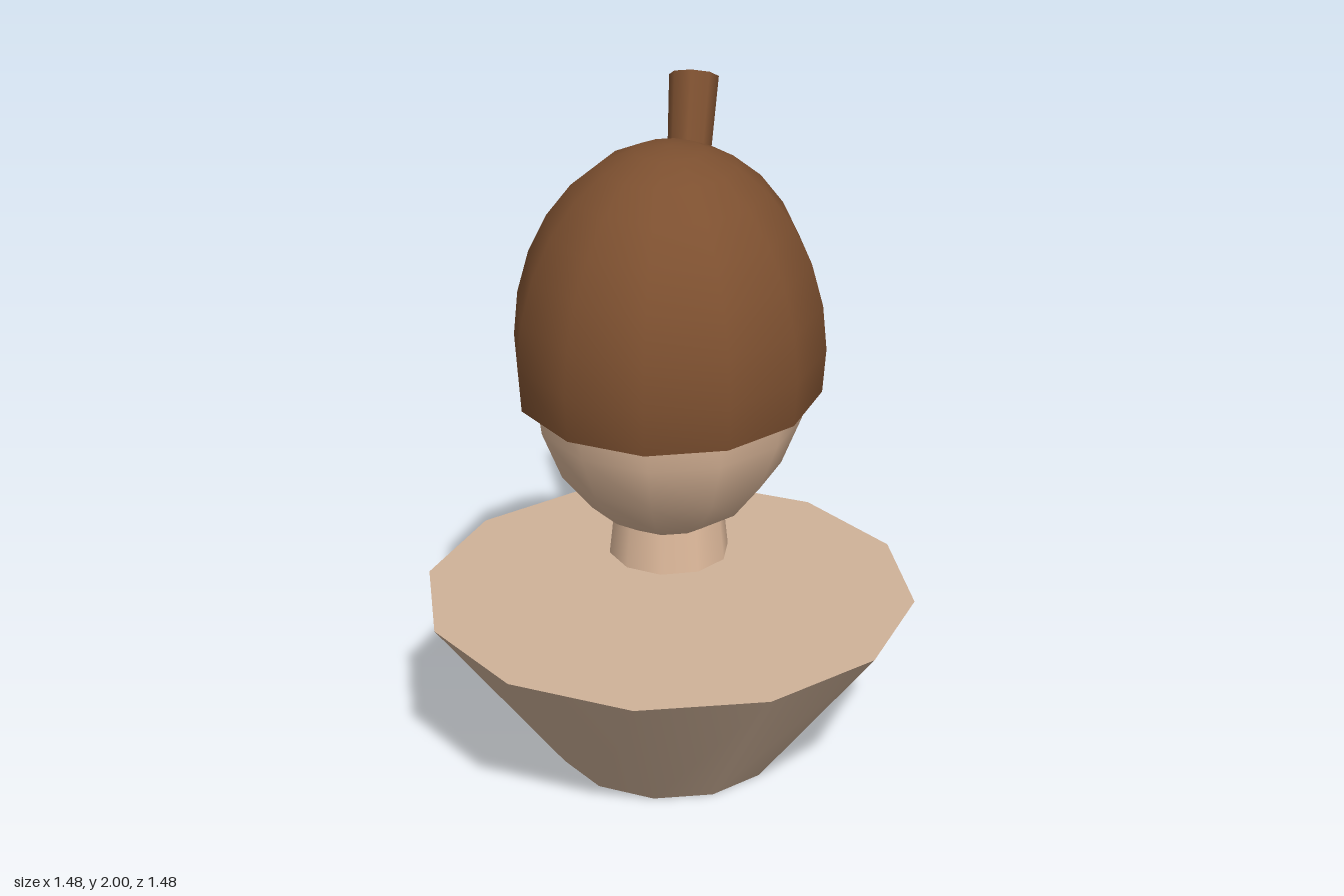
import * as THREE from 'three';

export function createModel() {
  const model = new THREE.Group();
  model.name = 'acornBust';

  const capBrown = new THREE.MeshStandardMaterial({ color: 0x7d5030, side: THREE.DoubleSide });
  capBrown.name = 'acornBrown';
  const skin = new THREE.MeshStandardMaterial({ color: 0xdfba9c });
  skin.name = 'skin';
  const bodyTan = new THREE.MeshStandardMaterial({ color: 0xcfb299 });
  bodyTan.name = 'bodyTan';

  function add(name, geometry, material, y) {
    const mesh = new THREE.Mesh(geometry, material);
    mesh.name = name;
    mesh.position.y = y;
    model.add(mesh);
    return mesh;
  }

  // Body: a wide twelve-sided cone, closed at both ends
  add('body', new THREE.CylinderGeometry(0.74, 0.345, 0.535, 12), bodyTan, 0.2675);

  // Neck floats above the body and runs up into the head
  add('neck', new THREE.CylinderGeometry(0.158, 0.18, 0.2, 10), skin, 0.767);

  // Head: an egg, deeper than wide
  add('head', new THREE.SphereGeometry(1, 12, 10).scale(0.41, 0.53, 0.46), skin, 1.28);

  // Acorn cap: an open shell cut just below its widest ring
  const cap = new THREE.SphereGeometry(1, 12, 8, 0, Math.PI * 2, 0, 1.772);
  add('cap', cap.scale(0.455, 0.6, 0.525), capBrown, 1.32);

  // Stem: widens to its tip and leans backwards
  const length = 0.44;
  const tilt = THREE.MathUtils.degToRad(28);
  const stem = add('stem', new THREE.CylinderGeometry(0.075, 0.057, length, 8), capBrown, 0);
  stem.rotation.x = -tilt;
  stem.position.set(0, 1.965 - Math.cos(tilt) * length / 2, -0.565 + Math.sin(tilt) * length / 2);

  return model;
}
